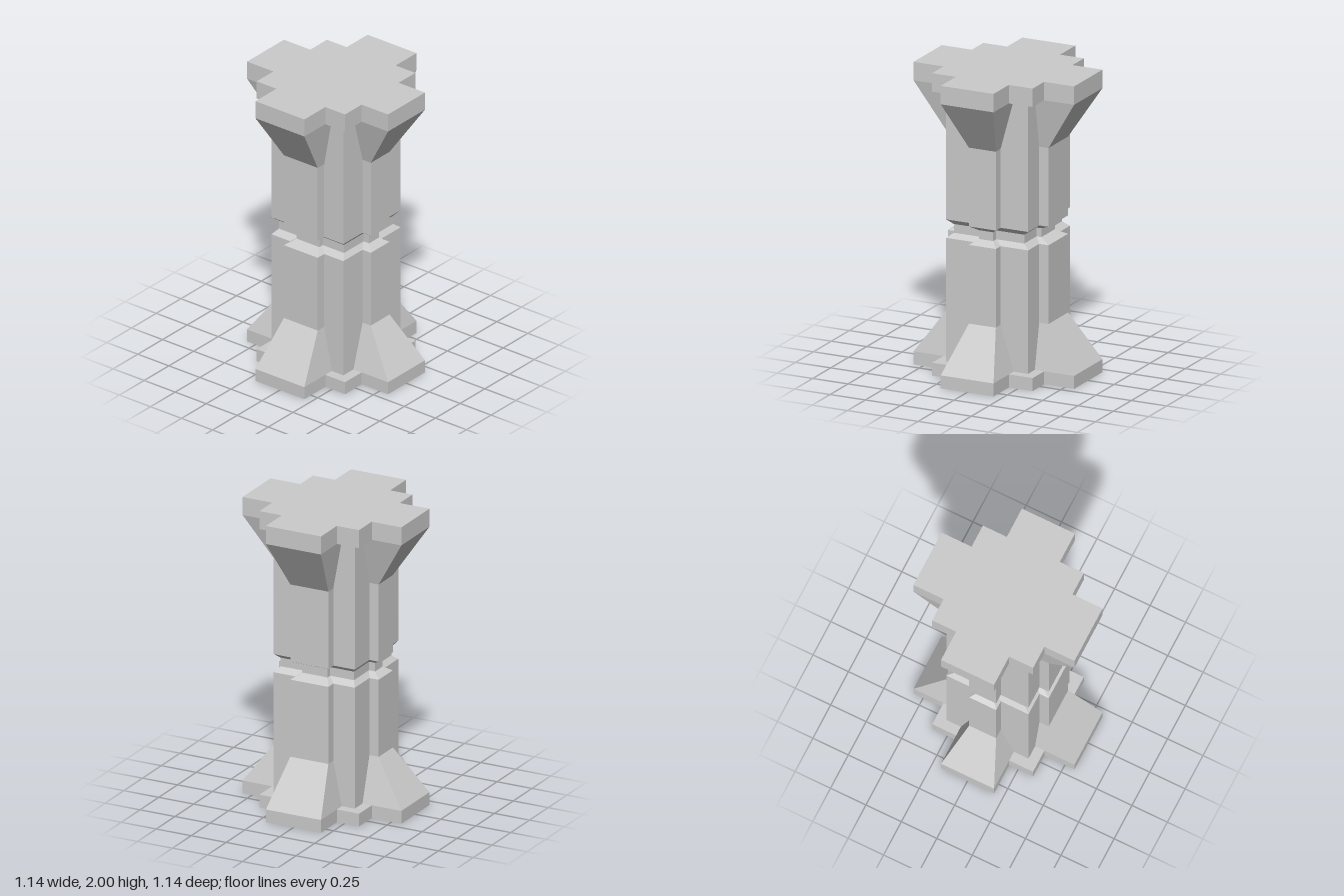
import * as THREE from 'three';

// Stepped-cross section: arm reach (ax, az), arm half-widths (wx, wz), corner block (cx, cz)
function ring(y, [ax, az, wx, wz, cx, cz]) {
  const q = [[ax, wz], [cx, wz], [cx, cz], [wx, cz], [wx, az]];
  const r = [...q].reverse();
  return [
    ...q.map(([x, z]) => [x, y, z]),
    ...r.map(([x, z]) => [-x, y, z]),
    ...q.map(([x, z]) => [-x, y, -z]),
    ...r.map(([x, z]) => [x, y, -z]),
  ];
}

// Joins successive rings with flat quads, with optional end caps
function loft(rings, capBottom, capTop) {
  const pos = [];
  const tri = (...pts) => pts.forEach((p) => pos.push(...p));
  const n = rings[0].length;
  const first = rings[0], last = rings[rings.length - 1];
  for (let i = 0; i < n; i++) {
    const j = (i + 1) % n;
    for (let k = 0; k < rings.length - 1; k++) {
      const lo = rings[k], hi = rings[k + 1];
      tri(lo[i], hi[i], lo[j]);
      tri(hi[i], hi[j], lo[j]);
    }
    if (capBottom) tri([0, first[0][1], 0], first[i], first[j]);
    if (capTop) tri([0, last[0][1], 0], last[j], last[i]);
  }
  const geo = new THREE.BufferGeometry();
  geo.setAttribute('position', new THREE.Float32BufferAttribute(pos, 3));
  geo.computeVertexNormals();
  return geo;
}

export function createModel() {
  const group = new THREE.Group();
  const material = new THREE.MeshStandardMaterial({ color: 0xcccccc, flatShading: true });

  const slab = [0.568, 0.568, 0.187, 0.197, 0.356, 0.356];
  const flare = [0.568, 0.568, 0.187, 0.197, 0.29, 0.29];
  const shaft = [0.356, 0.356, 0.095, 0.136, 0.29, 0.29];
  const neck = [0.284, 0.306, 0.05, 0.092, 0.249, 0.262];

  const add = (name, sections, capBottom = false, capTop = false) => {
    const rings = sections.map(([y, s]) => ring(y, s));
    const mesh = new THREE.Mesh(loft(rings, capBottom, capTop), material);
    mesh.name = name;
    group.add(mesh);
  };

  // Foot slab with its small corner ledges
  add('footSlab', [[0, slab], [0.086, slab], [0.086, flare]], true);
  // Spreading feet below the lower shaft
  add('footFlare', [[0.086, flare], [0.382, shaft]]);
  add('lowerShaft', [[0.382, shaft], [0.902, shaft]]);
  // Chamfered groove around the waist
  add('waistGroove', [[0.902, shaft], [0.934, neck], [0.992, neck], [1.024, shaft]]);
  add('upperShaft', [[1.024, shaft], [1.545, shaft]]);
  // Brackets spreading out to the top slab
  add('capitalFlare', [[1.545, shaft], [1.878, flare]]);
  add('topSlab', [[1.878, flare], [1.878, slab], [2, slab]], false, true);

  return group;
}
